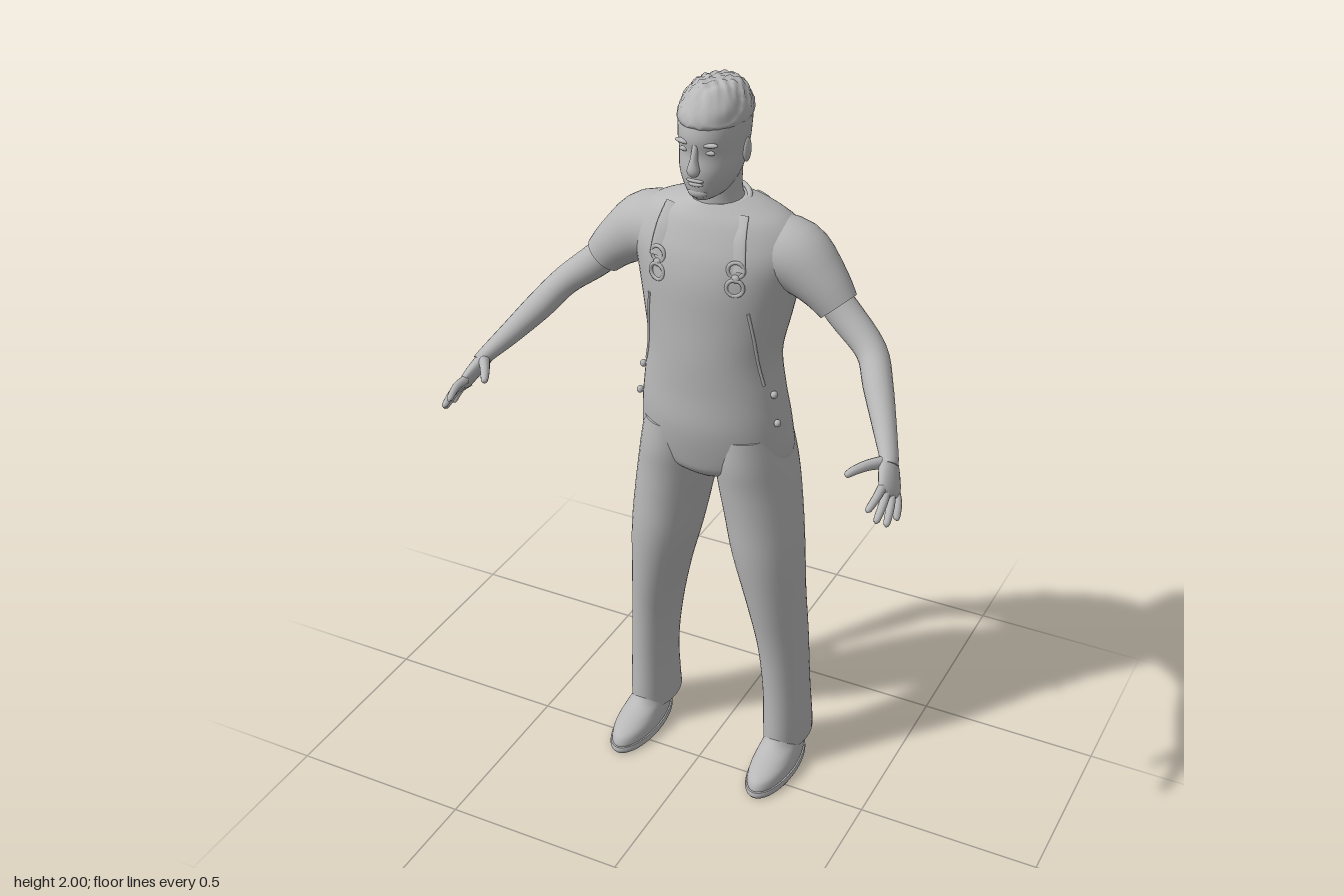
import * as THREE from 'three';

const V = (x, y, z) => new THREE.Vector3(x, y, z);

// Catmull-Rom value of a table of rows at parameter f
function sample(rows, f) {
  const last = rows.length - 1, i = Math.min(Math.floor(f), last - 1), t = f - i;
  const p = rows[Math.max(i - 1, 0)], a = rows[i], b = rows[i + 1], q = rows[Math.min(i + 2, last)];
  return a.map((v, k) => v + 0.5 * t * (b[k] - p[k] + t * (2 * p[k] - 5 * v + 4 * b[k] - q[k] + t * (3 * (v - b[k]) + q[k] - p[k]))));
}
function refine(rows, steps) {
  const out = [];
  for (let i = 0; i <= (rows.length - 1) * steps; i++) out.push(sample(rows, i / steps));
  return out;
}

// Skin over rings of points, with hard-edged caps at both ends
function skin(rings) {
  const n = rings[0].length, pos = [], idx = [];
  rings.forEach(r => r.forEach(p => pos.push(p.x, p.y, p.z)));
  for (let i = 0; i < rings.length - 1; i++) for (let j = 0; j < n; j++) {
    const a = i * n + j, b = i * n + (j + 1) % n;
    idx.push(a, a + n, b, b, a + n, b + n);
  }
  [rings[0], rings[rings.length - 1]].forEach((r, end) => {
    const base = pos.length / 3, c = V(0, 0, 0);
    r.forEach(p => { pos.push(p.x, p.y, p.z); c.addScaledVector(p, 1 / n); });
    pos.push(c.x, c.y, c.z);
    for (let j = 0; j < n; j++) {
      const a = base + j, b = base + (j + 1) % n;
      if (end) idx.push(base + n, b, a); else idx.push(base + n, a, b);
    }
  });
  const g = new THREE.BufferGeometry();
  g.setAttribute('position', new THREE.Float32BufferAttribute(pos, 3));
  g.setIndex(idx);
  g.computeVertexNormals();
  return g;
}

// Upright form from rows of [y, centre x, half width, front z, back z]
function stack(rows, n = 40, steps = 4) {
  return skin(refine(rows, steps).map(([y, cx, rx, zf, zb]) =>
    Array.from({ length: n }, (_, j) => {
      const a = j / n * Math.PI * 2;
      return V(cx + rx * Math.cos(a), y, (zf + zb) / 2 + (zf - zb) / 2 * Math.sin(a));
    })));
}

// Limb along rows of [x, y, z, radius across, radius along ref]
function limb(rows, ref = V(0, 0, 1), n = 20, steps = 4) {
  const r = refine(rows, steps), c = r.map(q => V(q[0], q[1], q[2]));
  return skin(r.map((q, i) => {
    const t = c[Math.min(i + 1, c.length - 1)].clone().sub(c[Math.max(i - 1, 0)]).normalize();
    const v = ref.clone().addScaledVector(t, -ref.dot(t)).normalize();
    const u = t.clone().cross(v);
    return Array.from({ length: n }, (_, j) => {
      const a = j / n * Math.PI * 2;
      return c[i].clone().addScaledVector(u, q[3] * Math.cos(a)).addScaledVector(v, q[4] * Math.sin(a));
    });
  }));
}

function mirrored(geo) {
  const g = geo.clone().applyMatrix4(new THREE.Matrix4().makeScale(-1, 1, 1));
  const a = g.index.array;
  for (let i = 0; i < a.length; i += 3) [a[i], a[i + 1]] = [a[i + 1], a[i]];
  return g;
}

const ball = (x, y, z, rx, ry, rz, tilt = 0) =>
  new THREE.SphereGeometry(1, 20, 14).scale(rx, ry, rz).rotateZ(tilt).translate(x, y, z);

const TORSO = [
  [0.925, 0, 0.05, -0.04, -0.17], [0.96, 0, 0.15, 0.005, -0.235], [1.0, 0, 0.206, 0.022, -0.253],
  [1.1, 0, 0.203, 0.042, -0.25], [1.2, 0, 0.19, 0.042, -0.228], [1.3, 0, 0.178, 0.044, -0.228],
  [1.4, 0, 0.195, 0.042, -0.25], [1.5, 0, 0.215, 0.04, -0.268], [1.57, 0, 0.232, 0.028, -0.272],
  [1.62, 0, 0.22, 0.01, -0.26], [1.66, 0, 0.18, -0.008, -0.225], [1.685, 0, 0.125, -0.025, -0.2],
  [1.70, 0, 0.075, -0.036, -0.172]];

// Torso surface z at x, y on the front (side 1) or back (side -1)
function torsoZ(x, y, side) {
  let i = 0;
  while (i < TORSO.length - 2 && TORSO[i + 1][0] < y) i++;
  const f = i + (y - TORSO[i][0]) / (TORSO[i + 1][0] - TORSO[i][0]);
  const [, , rx, zf, zb] = sample(TORSO, f);
  return (zf + zb) / 2 + side * (zf - zb) / 2 * Math.sqrt(Math.max(0, 1 - (x / rx) ** 2));
}

export function createModel() {
  const model = new THREE.Group();
  const grey = new THREE.MeshStandardMaterial({ color: 0xb8b8b8 });
  grey.name = 'plain grey';
  const add = (name, geo) => {
    const m = new THREE.Mesh(geo, grey);
    m.name = name;
    model.add(m);
  };
  const pair = (name, geo) => { add('left' + name, geo); add('right' + name, mirrored(geo)); };

  // Torso and neck
  add('torso', stack(TORSO, 56));
  add('neck', stack([[1.66, 0, 0.085, -0.035, -0.185], [1.69, 0, 0.068, -0.035, -0.172],
    [1.73, 0, 0.062, -0.035, -0.158], [1.80, 0, 0.064, -0.03, -0.162]]));
  const collar = new THREE.TorusGeometry(1, 0.09, 8, 40).rotateX(Math.PI / 2).scale(0.077, 0.06, 0.075);
  add('collar', collar.rotateX(0.22).translate(0, 1.692, -0.105));

  // Trouser legs and shoes
  pair('TrouserLeg', stack([
    [0.065, 0.21, 0.061, -0.045, -0.25], [0.12, 0.21, 0.062, -0.045, -0.24], [0.25, 0.206, 0.061, -0.046, -0.222],
    [0.4, 0.194, 0.066, -0.036, -0.222], [0.55, 0.174, 0.077, -0.014, -0.224], [0.7, 0.151, 0.094, 0.004, -0.232],
    [0.82, 0.133, 0.101, 0.008, -0.243], [0.92, 0.117, 0.104, 0.014, -0.252], [1.0, 0.107, 0.1, 0.022, -0.252],
    [1.08, 0.1, 0.09, 0.02, -0.235]]));
  pair('Shoe', stack([
    [0.018, 0.214, 0.056, 0.088, -0.2], [0.03, 0.214, 0.058, 0.088, -0.202], [0.05, 0.214, 0.055, 0.075, -0.2],
    [0.068, 0.213, 0.05, 0.03, -0.195], [0.09, 0.211, 0.044, -0.03, -0.19], [0.13, 0.21, 0.04, -0.06, -0.18]]));
  pair('Sole', stack([[0, 0.214, 0.059, 0.09, -0.204], [0.01, 0.214, 0.063, 0.096, -0.208],
    [0.022, 0.214, 0.061, 0.094, -0.206]]));

  // Short sleeves and bare arms
  pair('Sleeve', limb([
    [0.11, 1.575, -0.125, 0.085, 0.1], [0.2, 1.565, -0.125, 0.09, 0.093], [0.275, 1.515, -0.116, 0.068, 0.07],
    [0.325, 1.464, -0.108, 0.053, 0.05]], V(0, 0, 1), 32));
  pair('Arm', limb([
    [0.26, 1.53, -0.115, 0.042, 0.042], [0.34, 1.45, -0.107, 0.044, 0.042], [0.425, 1.38, -0.08, 0.038, 0.04],
    [0.47, 1.325, -0.02, 0.037, 0.037], [0.52, 1.265, 0.055, 0.029, 0.03], [0.558, 1.222, 0.115, 0.021, 0.026],
    [0.565, 1.21, 0.13, 0.02, 0.027]]));

  // Hands: palm, four fingers spread across it, thumb
  const across = V(-0.3, 0.55, 0.75).normalize();
  pair('Palm', limb([[0.55, 1.23, 0.1, 0.017, 0.022], [0.565, 1.205, 0.13, 0.019, 0.034],
    [0.58, 1.178, 0.16, 0.017, 0.041], [0.588, 1.16, 0.178, 0.013, 0.038], [0.59, 1.152, 0.184, 0.004, 0.028]], across));
  const tips = [[0.572, 1.168, 0.27], [0.592, 1.142, 0.265], [0.607, 1.121, 0.238], [0.614, 1.112, 0.192]];
  tips.forEach(([x, y, z], i) => {
    const k = V(0.582, 1.168, 0.17).addScaledVector(across, 0.029 - i * 0.0195);
    pair('Finger' + (i + 1), limb([[k.x, k.y, k.z, 0.012, 0.011],
      [(k.x + x) / 2 + 0.004, (k.y + y) / 2 + 0.006, (k.z + z) / 2, 0.0105, 0.0105],
      [x, y, z, 0.008, 0.008], [x, y - 0.004, z + 0.003, 0.002, 0.002]], across, 10, 3));
  });
  pair('Thumb', limb([[0.556, 1.215, 0.128, 0.016, 0.018], [0.528, 1.221, 0.168, 0.013, 0.014],
    [0.506, 1.219, 0.203, 0.011, 0.011], [0.496, 1.215, 0.222, 0.008, 0.008], [0.494, 1.214, 0.226, 0.002, 0.002]],
  across, 12, 3));

  // Head
  add('head', stack([
    [1.722, 0, 0.026, 0.0, -0.1], [1.737, 0, 0.046, 0.016, -0.13], [1.77, 0, 0.066, 0.023, -0.155],
    [1.80, 0, 0.075, 0.025, -0.17], [1.84, 0, 0.08, 0.02, -0.187], [1.88, 0, 0.083, 0.026, -0.196],
    [1.92, 0, 0.083, 0.018, -0.199], [1.955, 0, 0.074, 0.0, -0.188], [1.982, 0, 0.053, -0.025, -0.165],
    [1.992, 0, 0.02, -0.06, -0.12]], 48));

  // Cropped hair with a rough surface
  const hair = stack([[1.905, 0, 0.081, 0.018, -0.198], [1.915, 0, 0.086, 0.026, -0.203], [1.94, 0, 0.082, 0.019, -0.2],
    [1.97, 0, 0.067, -0.004, -0.182], [1.99, 0, 0.046, -0.032, -0.155], [1.996, 0, 0.015, -0.07, -0.11]], 48);
  const hp = hair.attributes.position;
  for (let i = 0; i < hp.count; i++) {
    const x = hp.getX(i), y = hp.getY(i), z = hp.getZ(i);
    const s = 1 + 0.016 * Math.sin(x * 190 + y * 90) * Math.sin(z * 170 + y * 140);
    hp.setXYZ(i, x * s, Math.min(2, y + (s - 1) * 0.25), -0.09 + (z + 0.09) * s);
  }
  hair.computeVertexNormals();
  add('hair', hair);

  // Face
  add('nose', limb([[0, 1.868, 0.02, 0.007, 0.006], [0, 1.835, 0.027, 0.009, 0.011],
    [0, 1.808, 0.031, 0.016, 0.014], [0, 1.797, 0.027, 0.011, 0.009]].reverse(), V(0, 0, 1), 14));
  add('upperLip', ball(0, 1.78, 0.022, 0.023, 0.005, 0.007));
  add('lowerLip', ball(0, 1.77, 0.02, 0.02, 0.006, 0.007));
  add('chin', ball(0, 1.746, 0.007, 0.026, 0.015, 0.014));
  pair('Brow', ball(0.034, 1.871, 0.014, 0.022, 0.006, 0.009, 0.1));
  pair('Eye', ball(0.033, 1.851, 0.011, 0.014, 0.006, 0.006));
  pair('Ear', ball(0.081, 1.832, -0.092, 0.008, 0.031, 0.018));

  // Overall straps lying on the chest and back
  const strap = (side, pts) => limb(pts.map(([x, y]) =>
    [x, y, torsoZ(x, y, side), 0.021, 0.004]), V(0, 0, 1), 12);
  pair('FrontStrap', strap(1, [[0.108, 1.56], [0.104, 1.6], [0.098, 1.64], [0.09, 1.68]]));
  pair('BackStrap', strap(-1, [[0.03, 1.48], [0.045, 1.56], [0.065, 1.63], [0.085, 1.68]]));

  // Strap clasps: two linked loops and a stud on each side
  [[1.565, 0.02], [1.52, 0.021]].forEach(([y, r], i) => pair('ClaspLoop' + (i + 1),
    new THREE.TorusGeometry(r, 0.005, 8, 20).rotateY(0.25).translate(0.105, y, torsoZ(0.105, y, 1))));
  pair('ClaspStud', ball(0.105, 1.543, torsoZ(0.105, 1.543, 1), 0.011, 0.011, 0.007));

  // Bib edges running down to the waist
  pair('BibEdge', limb([[0.135, 1.45], [0.145, 1.38], [0.153, 1.3], [0.165, 1.24]].map(([x, y]) =>
    [x, y, torsoZ(x, y, 1), 0.004, 0.004]).reverse(), V(0, 0, 1), 8));

  // Hip buttons
  [1.21, 1.13].forEach((y, i) => pair('HipButton' + (i + 1), ball(i ? 0.196 : 0.185, y, -0.05, 0.009, 0.01, 0.01)));

  return model;
}
